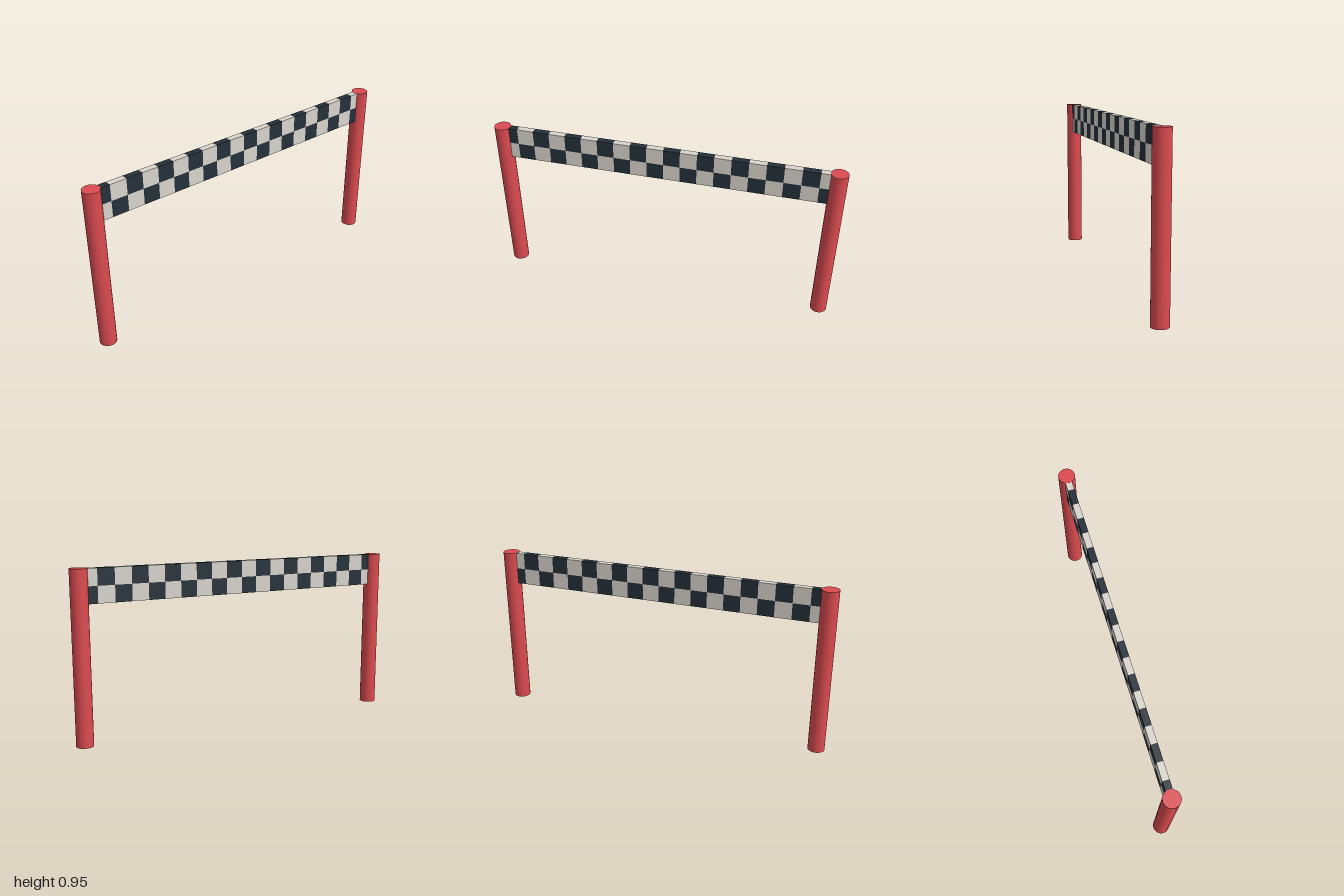
import * as THREE from 'three';

const mat = (name, color) => {
  const m = new THREE.MeshStandardMaterial({ color });
  m.name = name;
  return m;
};

export function createModel() {
  const red = mat('post red', 0xdc4b50);
  const light = mat('checker off-white', 0xd9d5cd);
  const dark = mat('checker navy', 0x25303a);

  const model = new THREE.Group();
  model.name = 'finishGate';

  const radius = 0.0476, height = 0.955, span = 0.9524;

  // Round posts at both ends
  const postGeo = new THREE.CylinderGeometry(radius, radius, height, 32);
  for (const [name, side] of [['leftPost', 1], ['rightPost', -1]]) {
    const post = new THREE.Mesh(postGeo, red);
    post.name = name;
    post.position.set(side * span, height / 2, 0);
    model.add(post);
  }

  // Chequered beam: two rows of blocks between the post centres
  const banner = new THREE.Group();
  banner.name = 'checkeredBanner';
  const columns = 20, rows = 2;
  const cellW = (2 * span) / columns, cellH = 0.0935, depth = 0.038;
  const top = height - 0.001; // just under the post caps
  const cellGeo = new THREE.BoxGeometry(cellW, cellH, depth);
  for (let r = 0; r < rows; r++) {
    for (let c = 0; c < columns; c++) {
      const isDark = (r + c) % 2 === 0;
      const cell = new THREE.Mesh(cellGeo, isDark ? dark : light);
      cell.name = isDark ? 'darkCheck' : 'lightCheck';
      cell.position.set(-span + (c + 0.5) * cellW, top - (r + 0.5) * cellH, 0);
      banner.add(cell);
    }
  }
  model.add(banner);

  return model;
}
